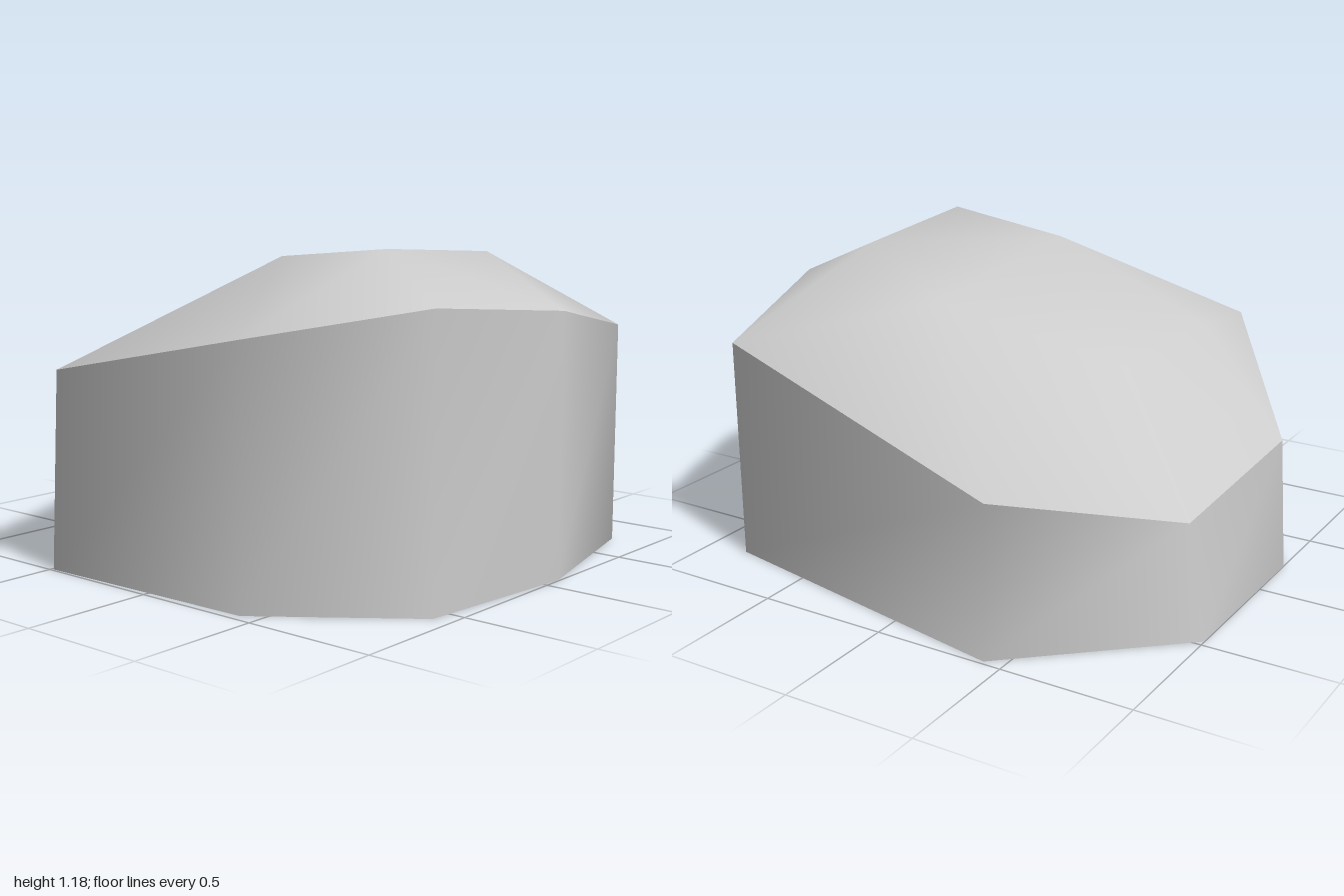
import * as THREE from 'three';
import { ConvexGeometry } from 'three/addons/geometries/ConvexGeometry.js';
import { mergeVertices } from 'three/addons/utils/BufferGeometryUtils.js';

// Corners, counter-clockwise from above: base x, base z, rim x, rim y, rim z
const corners = [
  [-0.58, 0.93, -0.58, 1.02, 0.93],
  [0.08, 0.995, 0.08, 0.965, 0.995],
  [0.735, 0.835, 0.735, 0.85, 0.835],
  [0.985, -0.425, 0.935, 0.55, -0.4],
  [0.475, -0.995, 0.5, 0.44, -0.94],
  [-0.23, -1.0, -0.22, 0.51, -0.97],
  [-0.99, -0.49, -0.98, 0.74, -0.455],
  [-0.965, 0.425, -0.965, 0.915, 0.425],
];

// Raised points of the domed cap
const dome = [
  [-0.39, 1.185, 0.58], [0.19, 1.15, 0.59], [0.46, 1.05, 0.09],
  [0.165, 0.83, -0.5], [-0.39, 0.85, -0.56], [-0.334, 1.135, 0.05],
];

// Smooth band joining the base outline to the rim
function wallGeometry() {
  const position = [], index = [], n = corners.length;
  corners.forEach(([bx, bz, x, y, z], i) => {
    position.push(bx, 0, bz, x, y, z);
    const a = 2 * i, b = 2 * ((i + 1) % n);
    index.push(a, b, b + 1, a, b + 1, a + 1);
  });
  const geometry = new THREE.BufferGeometry();
  geometry.setAttribute('position', new THREE.Float32BufferAttribute(position, 3));
  geometry.setIndex(index);
  geometry.computeVertexNormals();
  return geometry;
}

// Upper half of the hull over rim and dome points, smoothed
function capGeometry() {
  const points = [...corners.map((c) => c.slice(2)), ...dome].map((p) => new THREE.Vector3(...p));
  const hull = new ConvexGeometry(points);
  const p = hull.attributes.position, normal = hull.attributes.normal, kept = [];
  for (let i = 0; i < p.count; i += 3) {
    if (normal.getY(i) <= 0.001) continue;
    for (let k = i; k < i + 3; k++) kept.push(p.getX(k), p.getY(k), p.getZ(k));
  }
  const raw = new THREE.BufferGeometry();
  raw.setAttribute('position', new THREE.Float32BufferAttribute(kept, 3));
  const geometry = mergeVertices(raw);
  geometry.computeVertexNormals();
  return geometry;
}

export function createModel() {
  const group = new THREE.Group();
  group.name = 'rock';
  // The underside is open, so the inside shows too
  const stone = new THREE.MeshStandardMaterial({ color: 0xcccccc, side: THREE.DoubleSide });
  stone.name = 'stone grey';
  for (const [name, geometry] of [['rockWall', wallGeometry()], ['rockCap', capGeometry()]]) {
    const mesh = new THREE.Mesh(geometry, stone);
    mesh.name = name;
    group.add(mesh);
  }
  return group;
}
